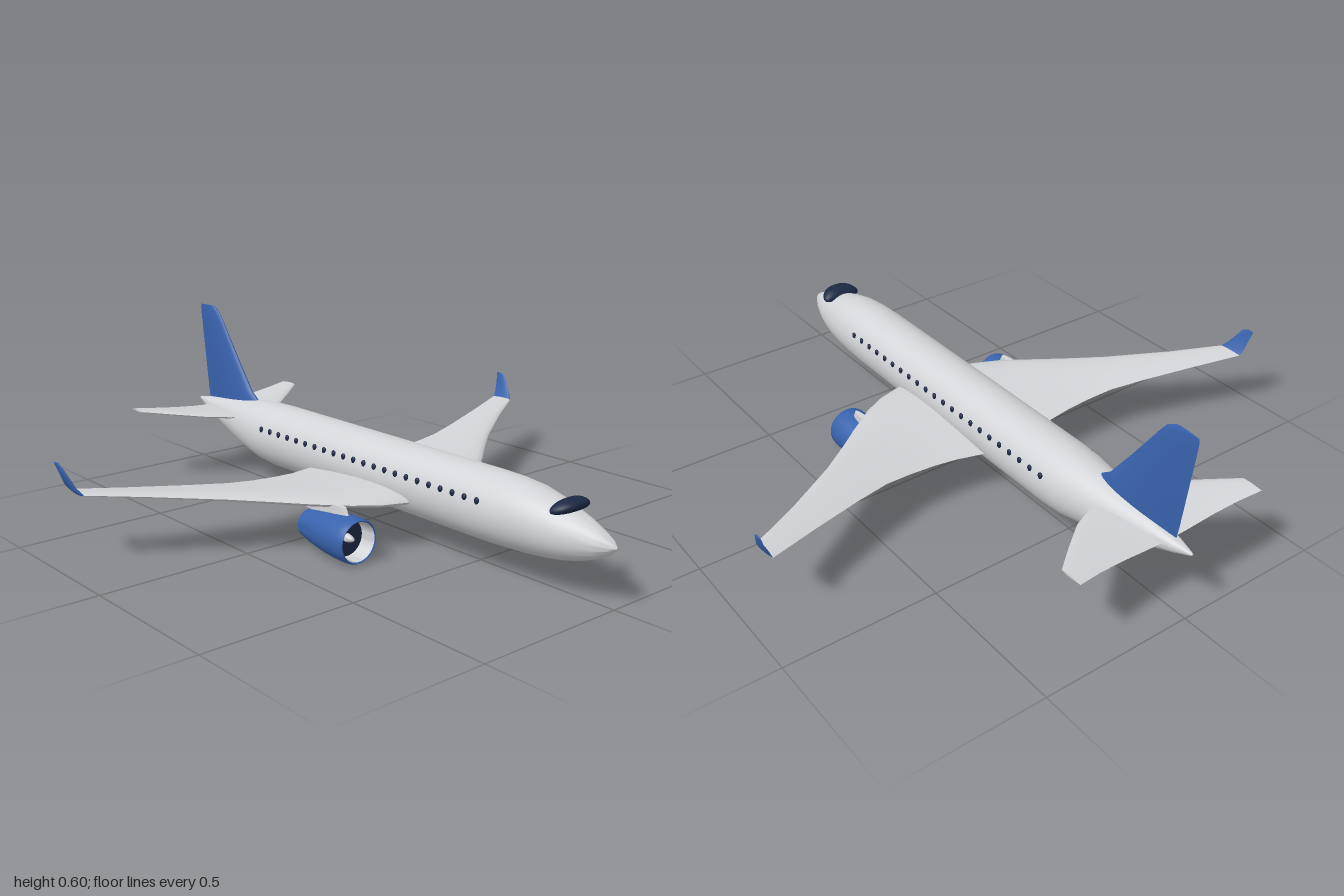
import * as THREE from 'three';
import { toCreasedNormals } from 'three/addons/utils/BufferGeometryUtils.js';

const mat = (name, color, side = THREE.FrontSide) => {
  const m = new THREE.MeshStandardMaterial({ color, side });
  m.name = name;
  return m;
};

// Skin a list of equal-length rings of [x, y, z]; s = -1 mirrors across x.
function loft(rings, s = 1) {
  const n = rings[0].length, pos = [], idx = [];
  const tri = (a, b, c) => (s > 0 ? idx.push(a, b, c) : idx.push(a, c, b));
  for (const ring of rings) for (const [x, y, z] of ring) pos.push(x * s, y, z);
  for (let i = 0; i < rings.length - 1; i++) {
    for (let k = 0; k < n; k++) {
      const a = i * n + k, b = i * n + (k + 1) % n;
      tri(a, a + n, b);
      tri(b, a + n, b + n);
    }
  }
  const last = (rings.length - 1) * n;
  for (let k = 1; k < n - 1; k++) {
    tri(0, k, k + 1);
    tri(last, last + k + 1, last + k);
  }
  const g = new THREE.BufferGeometry();
  g.setAttribute('position', new THREE.Float32BufferAttribute(pos, 3));
  g.setIndex(idx);
  return toCreasedNormals(g, 0.75);
}

// Aerofoil ring: leading edge z, trailing edge z, thickness and roll angle.
function foil([x, y, lead, trail, thick, roll = 0], n = 24) {
  return Array.from({ length: n }, (_, k) => {
    const t = (k / n) * Math.PI * 2;
    const u = (1 - Math.cos(t)) / 2;
    const h = Math.sign(Math.sin(t)) * Math.sqrt(u) * (1 - u) * thick * 1.3;
    return [x - Math.sin(roll) * h, y + Math.cos(roll) * h, lead + (trail - lead) * u];
  });
}

// Fuselage ring from its bottom, top and half width.
function hull([z, bottom, top, rx], n = 40) {
  return Array.from({ length: n }, (_, k) => {
    const t = (k / n) * Math.PI * 2;
    return [-Math.sin(t) * rx, (bottom + top) / 2 + Math.cos(t) * (top - bottom) / 2, z];
  });
}

export function createModel() {
  const root = new THREE.Group();
  root.name = 'airliner';
  const grey = mat('light grey', 0xd2d3d6);
  const blue = mat('blue', 0x3862ac);
  const navy = mat('dark navy', 0x1c2944);

  const add = (name, geo, material, parent = root) => {
    const m = new THREE.Mesh(geo, material);
    m.name = name;
    parent.add(m);
    return m;
  };

  // Body
  const stations = [
    [1.0, 0.177, 0.183, 0.003], [0.98, 0.158, 0.2, 0.02], [0.94, 0.135, 0.22, 0.04],
    [0.89, 0.116, 0.24, 0.059], [0.84, 0.103, 0.256, 0.074], [0.78, 0.094, 0.275, 0.088],
    [0.71, 0.088, 0.291, 0.099], [0.63, 0.084, 0.298, 0.105], [0.55, 0.082, 0.3, 0.107],
    [0.0, 0.082, 0.3, 0.107], [-0.46, 0.082, 0.3, 0.107], [-0.54, 0.087, 0.298, 0.102],
    [-0.63, 0.105, 0.29, 0.087], [-0.74, 0.135, 0.278, 0.065], [-0.85, 0.172, 0.264, 0.043],
    [-0.94, 0.205, 0.25, 0.022], [-1.0, 0.23, 0.238, 0.004],
  ];
  add('fuselage', loft(stations.map((s) => hull(s))), grey);

  // Windscreen: flattened dome, arched to sit on the nose, flat at the back
  const screen = new THREE.SphereGeometry(1, 32, 20);
  const p = screen.attributes.position;
  for (let i = 0; i < p.count; i++) {
    const x = p.getX(i), y = p.getY(i), z = p.getZ(i);
    const back = z < 0 ? 0.7 : 1;
    p.setXYZ(i, Math.sign(x) * Math.abs(x) ** 0.8 * 0.07,
      0.264 + y * 0.021 - x * x * 0.01 + z * 0.006, 0.833 + z * back * 0.042 - x * x * 0.008);
  }
  screen.computeVertexNormals();
  add('windscreen', screen, navy);

  // Cabin windows
  const pane = new THREE.SphereGeometry(1, 12, 8).scale(0.006, 0.011, 0.009);
  for (const s of [1, -1]) {
    for (let i = 0; i < 22; i++) {
      add('cabinWindow', pane, navy).position.set(s * 0.1, 0.23, 0.573 - i * 0.0497);
    }
  }

  // Wing, winglet and tailplane sections: x, y, lead z, trail z, thickness, roll
  const wing = [
    [0.0, 0.152, 0.3, -0.2, 0.055], [0.11, 0.155, 0.29, -0.195, 0.052],
    [0.19, 0.158, 0.265, -0.175, 0.046], [0.27, 0.163, 0.22, -0.167, 0.04],
    [0.36, 0.169, 0.15, -0.167, 0.034], [0.45, 0.177, 0.075, -0.175, 0.029],
    [0.56, 0.187, -0.012, -0.205, 0.024], [0.75, 0.204, -0.14, -0.266, 0.016],
    [0.91, 0.219, -0.235, -0.322, 0.01, 0.5],
  ];
  const winglet = [
    [0.91, 0.219, -0.235, -0.322, 0.01, 0.5], [0.922, 0.235, -0.25, -0.326, 0.01, 1.1],
    [0.934, 0.27, -0.275, -0.332, 0.008, 1.25], [0.943, 0.298, -0.293, -0.338, 0.006, 1.25],
    [0.945, 0.307, -0.312, -0.339, 0.004, 1.25],
  ];
  const tailplane = [
    [0.0, 0.227, -0.65, -0.91, 0.026], [0.085, 0.231, -0.677, -0.91, 0.022],
    [0.17, 0.239, -0.72, -0.912, 0.018], [0.26, 0.249, -0.79, -0.92, 0.013],
    [0.342, 0.258, -0.858, -0.933, 0.007],
  ];

  // Engine profiles: radius, distance along the axis (front positive)
  const v = (pts) => pts.map(([r, z]) => new THREE.Vector2(r, z));
  const turn = (pts) => toCreasedNormals(
    new THREE.LatheGeometry(v(pts), 40).rotateX(Math.PI / 2), 0.6);
  const cowl = turn([[0, -0.12], [0.045, -0.12], [0.056, -0.07], [0.065, -0.01],
    [0.07, 0.05], [0.071, 0.09], [0.069, 0.112], [0.066, 0.119], [0.062, 0.116]]);
  const duct = turn([[0.062, 0.116], [0.059, 0.1], [0.058, 0.05]]);
  const fan = new THREE.CircleGeometry(0.059, 40);
  const hub = turn([[0.014, 0.06], [0.011, 0.078], [0.006, 0.09], [0, 0.094]]);

  for (const s of [1, -1]) {
    const side = s > 0 ? 'left' : 'right';
    add(side + 'Wing', loft(wing.map((w) => foil(w)), s), grey);
    add(side + 'Winglet', loft(winglet.map((w) => foil(w)), s), blue);
    add(side + 'Tailplane', loft(tailplane.map((w) => foil(w)), s), grey);

    const engine = new THREE.Group();
    engine.name = side + 'Engine';
    engine.position.set(s * 0.305, 0.076, 0.178);
    root.add(engine);
    add('cowl', cowl, blue, engine);
    add('intakeDuct', duct, grey, engine);
    add('fan', fan, navy, engine).position.z = 0.062;
    add('spinner', hub, grey, engine);

    // Pylon between engine and wing
    const pylon = [[0.0, 0.05, 0.08, -0.16, 0.026, Math.PI / 2],
      [0.0, 0.092, 0.06, -0.19, 0.024, Math.PI / 2]];
    add('pylon', loft(pylon.map((w) => foil(w))), grey, engine);
  }

  // Tail fin
  const fin = [
    [0, 0.24, -0.6, -0.935, 0.04], [0, 0.29, -0.627, -0.943, 0.038],
    [0, 0.315, -0.663, -0.946, 0.036], [0, 0.42, -0.742, -0.959, 0.03],
    [0, 0.55, -0.835, -0.975, 0.02], [0, 0.585, -0.862, -0.979, 0.016],
    [0, 0.6, -0.89, -0.976, 0.01],
  ];
  add('tailFin', loft(fin.map((f) => foil([...f, Math.PI / 2]))), blue);

  return root;
}
